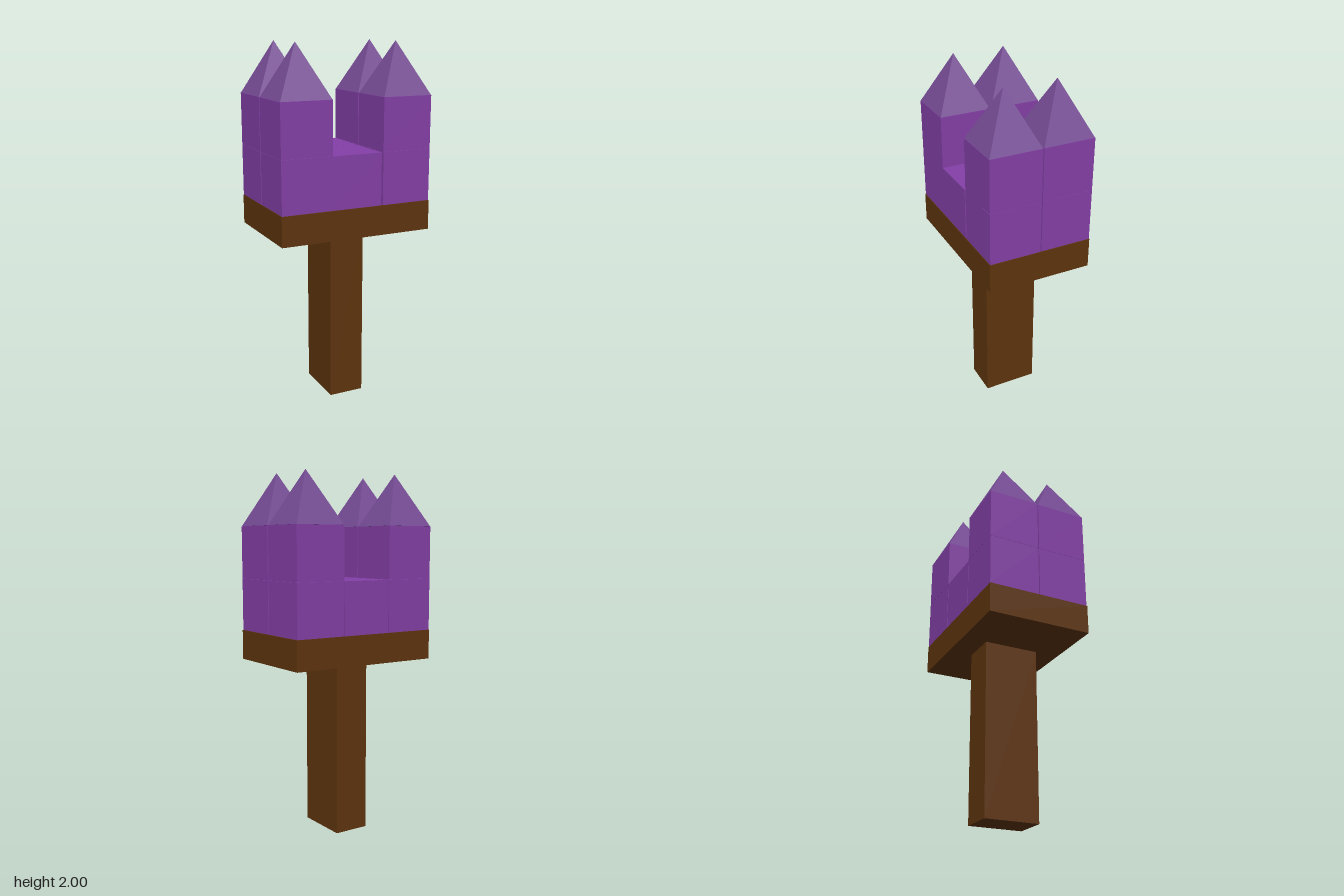
import * as THREE from 'three';

export function createModel() {
  const wood = new THREE.MeshStandardMaterial({ name: 'brown wood', color: 0x5f350e });
  const purple = new THREE.MeshStandardMaterial({ name: 'purple', color: 0x8540a8 });
  const mauve = new THREE.MeshStandardMaterial({ name: 'muted purple', color: 0x764c95, flatShading: true });

  const model = new THREE.Group();
  model.name = 'castleHammer';

  const add = (name, geometry, material, x, y, z) => {
    const mesh = new THREE.Mesh(geometry, material);
    mesh.name = name;
    mesh.position.set(x, y, z);
    model.add(mesh);
  };

  // Handle and the slab that carries the blocks
  add('handle', new THREE.BoxGeometry(0.2, 0.97, 0.31), wood, 0, 0.485, 0);
  add('platform', new THREE.BoxGeometry(0.88, 0.165, 0.586), wood, 0, 1.0525, 0);

  // Blocks with hairline gaps; square pyramid roof turned to line up with them
  const block = new THREE.BoxGeometry(0.288, 0.289, 0.288);
  const roof = new THREE.ConeGeometry(0.286 / Math.SQRT2, 0.285, 4);
  roof.rotateY(Math.PI / 4);

  const rows = [
    { label: 'front', z: 0.146, xs: [-0.293, -0.005, 0.293] },
    { label: 'back', z: -0.148, xs: [-0.294, -0.001, 0.292] },
  ];
  const columns = ['Right', 'Middle', 'Left'];

  for (const { label, z, xs } of rows) {
    xs.forEach((x, i) => {
      const name = label + columns[i];
      add(name + 'LowerBlock', block, purple, x, 1.28, z);
      // Corner towers rise one block higher and end in a roof
      if (i !== 1) {
        add(name + 'UpperBlock', block, purple, x, 1.57, z);
        add(name + 'Roof', roof, mauve, x, 1.8575, z);
      }
    });
  }
  return model;
}
